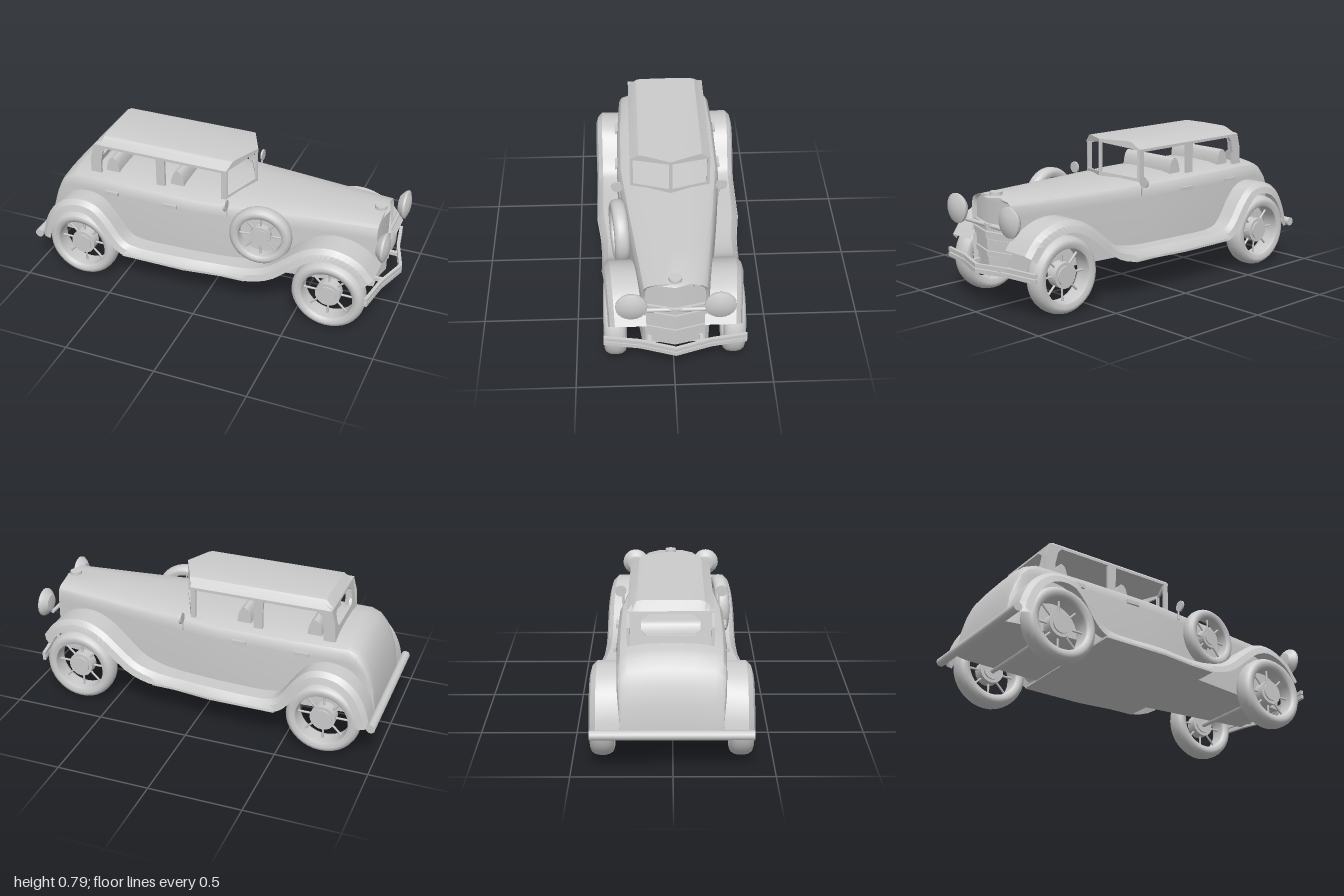
import * as THREE from 'three';
import { toCreasedNormals } from 'three/addons/utils/BufferGeometryUtils.js';

const solid = new THREE.MeshStandardMaterial({ color: 0xcccccc });
const thin = new THREE.MeshStandardMaterial({ color: 0xcccccc, side: THREE.DoubleSide });

function add(parent, name, geo, mat = solid, x = 0, y = 0, z = 0) {
  const m = new THREE.Mesh(geo, mat);
  m.name = name;
  m.position.set(x, y, z);
  parent.add(m);
  return m;
}

// Skin a list of cross-sections with equal point counts
function loft(rows, crease = 0.6) {
  const n = rows[0].length, index = [];
  for (let i = 0; i < rows.length - 1; i++)
    for (let j = 0; j < n - 1; j++) {
      const a = i * n + j, b = a + n;
      index.push(a, b, a + 1, b, b + 1, a + 1);
    }
  const g = new THREE.BufferGeometry();
  g.setAttribute('position', new THREE.Float32BufferAttribute(rows.flat(2), 3));
  g.setIndex(index);
  return toCreasedNormals(g, crease);
}

const poly = (pts) => new THREE.Shape(pts.map(([a, b]) => new THREE.Vector2(a, b)));

function panel(pts, holes, depth) {
  const s = poly(pts);
  s.holes = holes.map(poly);
  return new THREE.ExtrudeGeometry(s, { depth, bevelEnabled: false });
}

// Extrude an [x, z] outline from y0 to y1
function plan(pts, y0, y1) {
  return panel(pts.map(([x, z]) => [x, -z]), [], y1 - y0).rotateX(-Math.PI / 2).translate(0, y0, 0);
}

function table(t, x) {
  if (x <= t[0][0]) return t[0][1];
  for (let i = 1; i < t.length; i++)
    if (x <= t[i][0]) {
      const [a, b] = [t[i - 1], t[i]];
      return b[1] * (x - a[0]) / (b[0] - a[0]) + a[1] * (b[0] - x) / (b[0] - a[0]);
    }
  return t[t.length - 1][1];
}

const bodyWidth = [[-0.96, 0.25], [-0.9, 0.265], [-0.5, 0.28], [-0.1, 0.28], [0.2, 0.247], [0.89, 0.165]];
const bodyTop = [[-0.96, 0.23], [-0.945, 0.36], [-0.92, 0.45], [-0.89, 0.52], [-0.85, 0.57], [-0.8, 0.592], [0.89, 0.592]];
const fenderWidth = [[-0.96, 0.405], [-0.1, 0.4], [0.1, 0.375], [0.45, 0.37], [0.92, 0.335]];

// Body tub and tapering bonnet
function bodyGeometry() {
  const half = [[1, 0], [1, 0.76], [0.985, 0.86], [0.93, 0.92], [0.8, 0.955], [0.45, 0.99], [0, 1]];
  const section = [...half, ...half.slice(0, -1).reverse().map(([a, b]) => [-a, b]), half[0]];
  const xs = [-0.96, -0.945, -0.92, -0.89, -0.85, -0.8, -0.5, -0.1, 0.1, 0.3, 0.6, 0.89];
  const rows = xs.map((x) => section.map(([a, b]) =>
    [x, 0.2 + b * (table(bodyTop, x) - 0.2), a * table(bodyWidth, x)]));
  rows.unshift(section.map(() => [-0.96, 0.21, 0]));
  rows.push(section.map(([a, b]) => [0.91 - 0.04 * Math.abs(a), 0.2 + b * 0.38, a * 0.15]));
  rows.push(section.map(([, b]) => [0.91, 0.2 + b * 0.38, 0]));
  return loft(rows);
}

// Fender sweeping over both wheels and along the running board
function fenderGeometry(side) {
  const path = new THREE.CatmullRomCurve3([[-0.965, 0.2], [-0.935, 0.31], [-0.88, 0.405], [-0.8, 0.465], [-0.7, 0.483],
    [-0.62, 0.46], [-0.55, 0.39], [-0.47, 0.28], [-0.42, 0.253], [-0.1, 0.25], [0.2, 0.253], [0.34, 0.29], [0.45, 0.375],
    [0.55, 0.45], [0.65, 0.484], [0.75, 0.475], [0.85, 0.425], [0.92, 0.34]].map(([x, y]) => new THREE.Vector3(x, y, 0)));
  const rows = [];
  for (let i = 0; i <= 56; i++) {
    const p = path.getPoint(i / 56), t = path.getTangent(i / 56);
    const inner = table(bodyWidth, p.x) - 0.02, outer = table(fenderWidth, p.x);
    rows.push([[inner, 0], [outer - 0.035, 0], [outer - 0.01, 0.025], [outer, 0.06]].map(([z, d]) =>
      [p.x + t.y * d, Math.max(0.2, p.y - t.x * d), z * side]));
  }
  return loft(rows, 0.5);
}

// Wheel with hollow rim, hub and eight spokes; axis along z
function wheel(name, width, radius = 0.2) {
  const g = new THREE.Group();
  g.name = name;
  const ring = [[0.142, -0.42], [0.165, -0.5], [0.183, -0.44], [0.195, -0.3], [0.2, -0.12], [0.2, 0.12], [0.195, 0.3],
    [0.183, 0.44], [0.165, 0.5], [0.142, 0.42], [0.138, 0.3], [0.138, -0.3], [0.142, -0.42]];
  const tyre = new THREE.LatheGeometry(ring.map(([r, z]) => new THREE.Vector2(r, z * width)), 36);
  add(g, 'tyre', tyre.rotateX(Math.PI / 2), thin);
  add(g, 'hub', new THREE.CylinderGeometry(0.068, 0.068, width * 0.5, 20).rotateX(Math.PI / 2));
  add(g, 'hubCap', new THREE.CylinderGeometry(0.05, 0.05, width * 0.64, 20).rotateX(Math.PI / 2));
  for (let i = 0; i < 8; i++) {
    const spoke = new THREE.CylinderGeometry(0.006, 0.006, 0.09, 6).translate(0, 0.1, 0);
    add(g, 'spoke', spoke).rotation.z = i * Math.PI / 4;
  }
  g.scale.set(radius / 0.2, radius / 0.2, 1);
  return g;
}

function cabin() {
  const g = new THREE.Group();
  g.name = 'cabin';
  g.position.z = -0.005;
  // Side walls with two windows each
  const wall = [[-0.725, 0.56], [-0.718, 0.67], [-0.697, 0.748], [0.07, 0.748], [0.07, 0.56]];
  const rearWindow = [[-0.66, 0.573], [-0.33, 0.573], [-0.33, 0.733], [-0.625, 0.733], [-0.645, 0.71], [-0.66, 0.64]];
  const frontWindow = [[-0.28, 0.573], [0.045, 0.573], [0.045, 0.733], [-0.28, 0.733]];
  for (const z of [0.2, -0.215])
    add(g, 'cabinSide', panel(wall, [rearWindow, frontWindow], 0.015), solid, 0, 0, z);

  // Back wall with its window, leaning forward
  const back = panel([[-0.21, 0.56], [0.21, 0.56], [0.21, 0.748], [-0.21, 0.748]],
    [[[-0.12, 0.625], [0.12, 0.625], [0.145, 0.65], [0.145, 0.705], [0.1, 0.735], [-0.1, 0.735], [-0.145, 0.705], [-0.145, 0.65]]], 0.015);
  back.rotateY(-Math.PI / 2);
  const bp = back.attributes.position;
  for (let i = 0; i < bp.count; i++) bp.setX(i, bp.getX(i) - 0.71 + (bp.getY(i) - 0.56) * 0.15);
  back.computeVertexNormals();
  add(g, 'backWall', back);

  // Roof with sloped rear and pointed front edge
  const half = [[0.215, 0.735], [0.215, 0.748], [0.19, 0.768], [0.168, 0.785], [0.145, 0.79], [0, 0.792]];
  const section = [...half, ...half.slice(0, -1).reverse().map(([z, y]) => [-z, y])];
  const vee = (z) => 0.172 - 0.47 * Math.abs(z);
  add(g, 'roof', loft([
    section.map(([z]) => [-0.7, 0.735, z]),
    section.map(([z, y]) => [-0.698, Math.min(y, 0.748), z]),
    section.map(([z, y]) => [-0.655, y, z]),
    section.map(([z, y]) => [vee(z), y, z]),
  ], 0.4), thin);

  // Split windscreen frame folded to a V
  for (const s of [1, -1]) {
    const frame = panel([[0, 0.58], [0.21, 0.56], [0.21, 0.748], [0.168, 0.785], [0.145, 0.79], [0, 0.792]],
      [[[0.009, 0.615], [0.198, 0.593], [0.198, 0.745], [0.009, 0.775]]], 0.012);
    const p = frame.attributes.position;
    for (let i = 0; i < p.count; i++) {
      const z = p.getX(i);
      p.setXYZ(i, vee(z) - p.getZ(i), p.getY(i), z * s);
    }
    frame.computeVertexNormals();
    add(g, 'windscreenFrame', frame, thin);
  }

  // Bench seat backs with rounded tops
  for (const x of [-0.605, -0.22]) {
    const seat = new THREE.Shape();
    seat.moveTo(-0.04, 0.56);
    seat.lineTo(0.04, 0.56);
    seat.bezierCurveTo(0.04, 0.7, -0.035, 0.7, -0.04, 0.56);
    add(g, 'seat', toCreasedNormals(new THREE.ExtrudeGeometry(seat, { depth: 0.37, bevelEnabled: false }), 0.6), solid, x, 0, -0.185);
  }
  return g;
}

export function createModel() {
  const car = new THREE.Group();
  car.name = 'car';
  car.position.z = -0.005;
  add(car, 'body', bodyGeometry(), thin);
  car.add(cabin());

  // Floor between the running boards
  add(car, 'floor', plan([[-0.46, -0.4], [-0.1, -0.4], [0.1, -0.375], [0.24, -0.372],
    [0.24, 0.372], [0.1, 0.375], [-0.1, 0.4], [-0.46, 0.4]], 0.195, 0.207));

  for (const s of [1, -1]) {
    add(car, 'fender', fenderGeometry(s), thin);
    const front = wheel('frontWheel', 0.115), rear = wheel('rearWheel', 0.12);
    front.position.set(0.69, 0.205, s * 0.302);
    rear.position.set(-0.715, 0.205, s * 0.345);
    car.add(front, rear);
    for (const x of [-0.565, -0.22])
      add(car, 'doorHandle', new THREE.BoxGeometry(0.078, 0.02, 0.014), solid, x, 0.508, s * 0.285);

    // Wing mirror on a short arm
    add(car, 'mirror', new THREE.CylinderGeometry(0.031, 0.031, 0.01, 20).rotateZ(Math.PI / 2), solid, 0.1, 0.587, s * 0.28);
    add(car, 'mirrorArm', new THREE.CylinderGeometry(0.005, 0.005, 0.06, 8), solid, 0.1, 0.54, s * 0.265);

    // Headlight bowl and lens
    const lamp = new THREE.LatheGeometry([[0, -0.04], [0.045, -0.033], [0.07, -0.012], [0.078, 0], [0.078, 0.01],
      [0.07, 0.014], [0.04, 0.025], [0, 0.03]].map(([r, y]) => new THREE.Vector2(r, y)), 20).rotateZ(-Math.PI / 2);
    add(car, 'headlight', toCreasedNormals(lamp, 0.5), thin, 0.942, 0.498, s * 0.217);
    add(car, 'bumperBracket', new THREE.BoxGeometry(0.12, 0.02, 0.02), solid, 0.89, 0.23, s * 0.13);
  }

  // Axles and headlight crossbar
  for (const [name, x, y, length, r] of [['frontAxle', 0.69, 0.2, 0.58, 0.014], ['rearAxle', -0.715, 0.2, 0.66, 0.014],
    ['headlightBar', 0.91, 0.44, 0.42, 0.011]])
    add(car, name, new THREE.CylinderGeometry(r, r, length, 10).rotateX(Math.PI / 2), solid, x, y, 0);

  // Radiator: stacked pointed bands, wider toward the top
  for (const [y0, y1, w, nose] of [[0.21, 0.28, 0.145, 0.915], [0.285, 0.31, 0.152, 0.925], [0.315, 0.37, 0.15, 0.922],
    [0.375, 0.41, 0.16, 0.93], [0.415, 0.45, 0.165, 0.925], [0.455, 0.535, 0.166, 0.905]])
    add(car, 'grilleBand', plan([[0.84, -w], [nose - 0.045, -w], [nose, 0], [nose - 0.045, w], [0.84, w]], y0, y1));
  add(car, 'radiatorCap', new THREE.CylinderGeometry(0.032, 0.034, 0.02, 16), solid, 0.86, 0.597, 0);

  // Two-bar pointed front bumper
  const bumper = [[0.91, 0.36], [0.94, 0.18], [1, 0], [0.94, -0.18], [0.91, -0.36]];
  const strip = [...bumper, ...bumper.map(([x, z]) => [x - 0.018, z]).reverse()];
  for (const y of [0.21, 0.237]) add(car, 'frontBumper', plan(strip, y, y + 0.021));

  add(car, 'rearBumper', new THREE.CylinderGeometry(0.024, 0.024, 0.8, 12).rotateX(Math.PI / 2), solid, -0.976, 0.215, 0);

  // Spare wheel resting against one side of the bonnet
  const spare = wheel('spareWheel', 0.08, 0.168);
  spare.position.set(0.295, 0.445, 0.272);
  spare.rotation.y = 0.12;
  car.add(spare);

  const model = new THREE.Group();
  model.name = 'vintageCar';
  model.add(car);
  return model;
}
